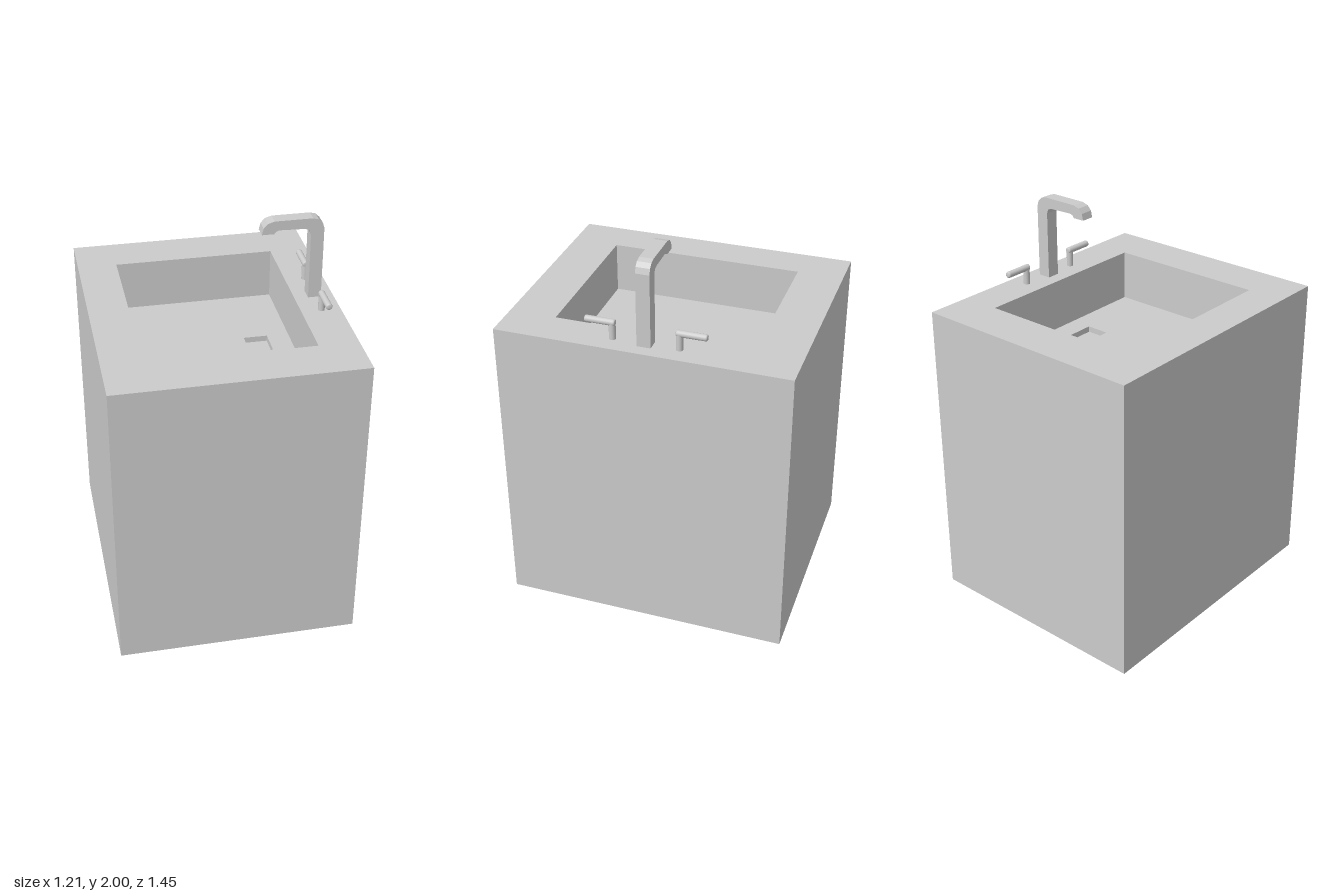
import * as THREE from 'three';
import { mergeGeometries } from 'three/addons/utils/BufferGeometryUtils.js';

const flat = new THREE.MeshStandardMaterial({ color: 0xcccccc, flatShading: true });
const smooth = new THREE.MeshStandardMaterial({ color: 0xcccccc });

const part = (name, geometry, material = flat) => {
  const mesh = new THREE.Mesh(geometry, material);
  mesh.name = name;
  return mesh;
};

// Corners of a rectangle [x0, x1, z0, z1], counter-clockwise seen from above
const corners = ([x0, x1, z0, z1]) => [[x0, z1], [x1, z1], [x1, z0], [x0, z0]];

// Horizontal rectangle at height y, optionally with a rectangular hole
function plate(rect, y, hole, facingDown = false) {
  const s = facingDown ? 1 : -1;
  const points = (r) => corners(r).map(([x, z]) => new THREE.Vector2(x, s * z));
  const shape = new THREE.Shape(points(rect));
  if (hole) shape.holes.push(new THREE.Path(points(hole)));
  return new THREE.ShapeGeometry(shape).rotateX(s * Math.PI / 2).translate(0, y, 0);
}

// Four upright sides of a rectangle, facing outward or inward
function walls(rect, y0, y1, inward = false) {
  const ring = corners(rect);
  if (inward) ring.reverse();
  const sides = ring.map(([ax, az], i) => {
    const [bx, bz] = ring[(i + 1) % 4];
    const length = Math.hypot(bx - ax, bz - az);
    return new THREE.PlaneGeometry(length, y1 - y0)
      .rotateY(Math.atan2(az - bz, bx - ax))
      .translate((ax + bx) / 2, (y0 + y1) / 2, (az + bz) / 2);
  });
  return mergeGeometries(sides);
}

export function createModel() {
  const model = new THREE.Group();
  model.name = 'sinkUnit';

  const topY = 1.573, floorY = 1.313, drainY = 1.283;
  const outer = [-0.608, 0.604, -0.726, 0.723];
  const bowl = [-0.41, 0.408, -0.493, 0.488];
  const drain = [0.178, 0.298, -0.072, 0.068];

  // Cabinet block with its countertop rim
  model.add(
    part('cabinetSides', walls(outer, 0, topY)),
    part('cabinetBottom', plate(outer, 0, null, true)),
    part('countertop', plate(outer, topY, bowl)),
  );

  // Sunken basin and square drain
  model.add(
    part('basinWalls', walls(bowl, floorY, topY, true)),
    part('basinFloor', plate(bowl, floorY, drain)),
    part('drainWalls', walls(drain, drainY, floorY, true)),
    part('drainFloor', plate(drain, drainY)),
  );

  // Square-section tap: side profile extruded across its width
  const profile = [
    [0.476, topY], [0.541, topY], [0.541, 1.945], [0.532, 1.973], [0.512, 1.992], [0.484, 2],
    [0.295, 2], [0.262, 1.99], [0.242, 1.967], [0.234, 1.934],
    [0.295, 1.934], [0.303, 1.946], [0.32, 1.952],
    [0.447, 1.948], [0.468, 1.94], [0.476, 1.918],
  ].map(([x, y]) => new THREE.Vector2(x, y));
  const tap = new THREE.ExtrudeGeometry(new THREE.Shape(profile), { depth: 0.068, bevelEnabled: false });
  model.add(part('tap', tap.translate(0, 0, -0.036)));

  // Lever handles on both sides of the tap
  const r = 0.0165;
  const barProfile = [[0, 0], [0.011, 0], [0.015, 0.003], [r, 0.009], [r, 0.141], [0.015, 0.147], [0.011, 0.15], [0, 0.15]]
    .map(([x, y]) => new THREE.Vector2(x, y));
  for (const side of [-1, 1]) {
    const handle = new THREE.Group();
    handle.name = side > 0 ? 'frontHandle' : 'backHandle';
    const post = part('handlePost', new THREE.CylinderGeometry(r, r, 0.085, 20), smooth);
    post.position.set(0.509, topY + 0.0425, side * 0.163 - 0.002);
    const bar = part('handleLever', new THREE.LatheGeometry(barProfile, 20), smooth);
    bar.rotation.x = side * Math.PI / 2;
    bar.position.set(0.509, 1.658, side * 0.147 - 0.002);
    handle.add(post, bar);
    model.add(handle);
  }

  return model;
}
